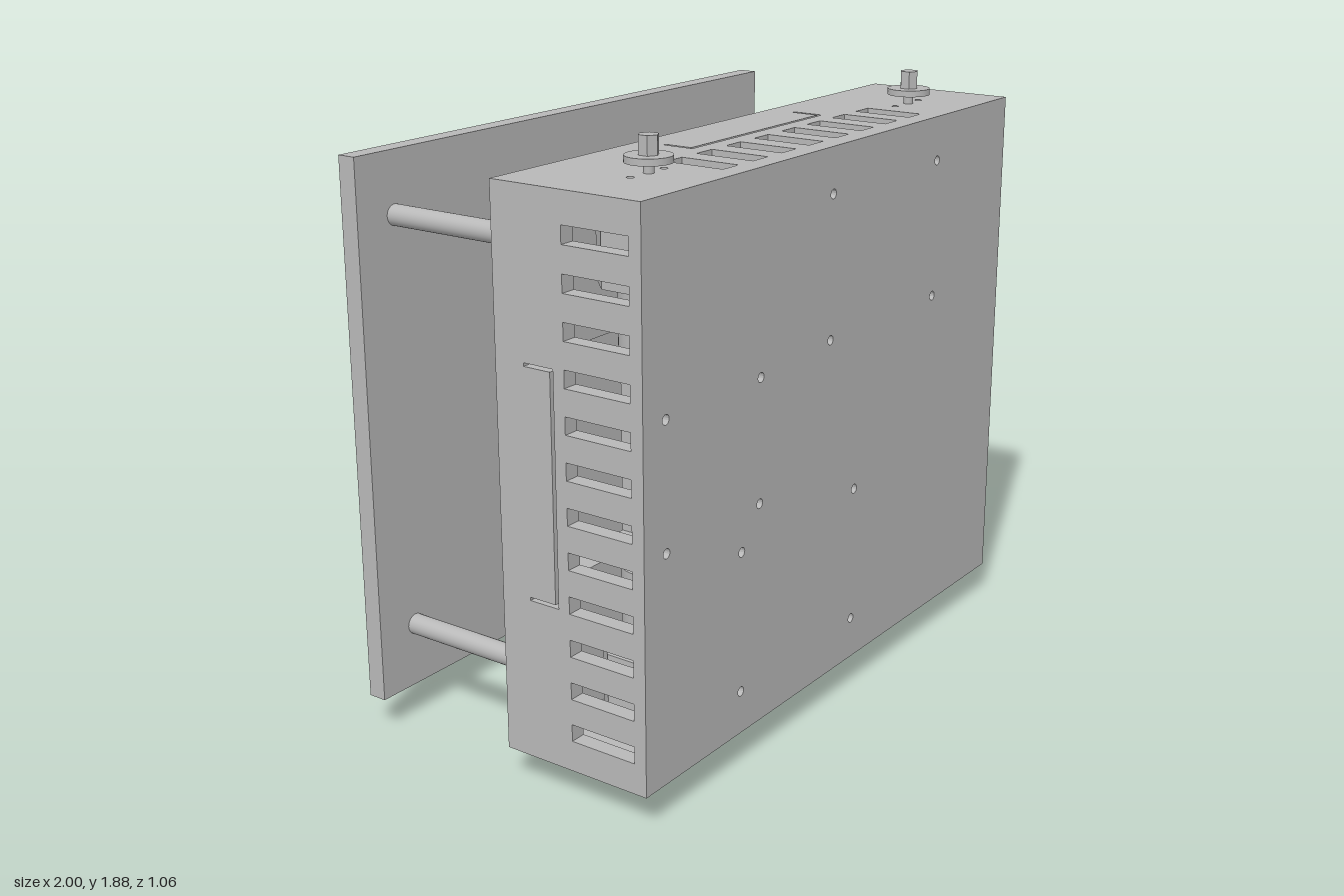
import * as THREE from 'three';

export function createModel() {
  const model = new THREE.Group();
  const grey = new THREE.MeshStandardMaterial({ color: 0xb8b8b8 });
  grey.name = 'plain grey';

  const add = (name, geo, x = 0, y = 0, z = 0, parent = model) => {
    const mesh = new THREE.Mesh(geo, grey);
    mesh.name = name;
    mesh.position.set(x, y, z);
    parent.add(mesh);
    return mesh;
  };

  // Outlines used for the panels and their cut-outs
  const rect = (x0, y0, x1, y1) => [[x0, y0], [x1, y0], [x1, y1], [x0, y1]];
  const ring = (cx, cy, r, n) => Array.from({ length: n }, (_, i) => {
    const a = (i / n) * Math.PI * 2;
    return [cx + r * Math.cos(a), cy + r * Math.sin(a)];
  });
  const points = (list) => list.map(([x, y]) => new THREE.Vector2(x, y));
  const panel = (outline, holes, depth) => {
    const shape = new THREE.Shape(points(outline));
    holes.forEach((h) => shape.holes.push(new THREE.Path(points(h))));
    return new THREE.ExtrudeGeometry(shape, { depth, bevelEnabled: false });
  };

  const B = 0.105, T = 1.78, wall = 0.05, back = 0.03, front = 0.5, mid = (B + T) / 2;

  // Front panel with small screw holes
  const screws = [
    [-0.9, 1.18], [-0.45, 1.18], [-0.9, 0.8], [-0.45, 0.8],
    [-0.08, 1.64], [0.54, 1.64], [-0.08, 1.2], [0.54, 1.2],
    [-0.54, 0.68], [0.08, 0.68], [-0.54, 0.24], [0.08, 0.24],
  ];
  add('frontPanel', panel(rect(-1, B, 1, T), screws.map(([x, y]) => ring(x, y, 0.015, 16)), 0.03), 0, 0, front);

  // Top and bottom walls: vent slots, U-shaped strap slit and pin holes
  const endHoles = [[
    [-0.35, 0.12], [-0.34, 0.12], [-0.34, 0.21], [0.335, 0.21],
    [0.335, 0.12], [0.345, 0.12], [0.345, 0.221], [-0.35, 0.221],
  ]];
  for (let i = 0; i < 8; i++) {
    const x = -0.508 + i * 0.1445;
    endHoles.push(rect(x - 0.037, 0.273, x + 0.037, 0.463));
  }
  for (const s of [-1, 1]) for (const d of [-0.075, 0.075]) endHoles.push(ring(s * 0.7 + d, 0.325, 0.011, 12));
  const endWall = panel(rect(-1, back, 1, front), endHoles, wall).rotateX(Math.PI / 2);
  add('topWall', endWall, 0, T, 0);
  add('bottomWall', endWall, 0, B + wall, 0);

  // Side walls: a column of vent slots and a U-shaped strap slit
  const sideHoles = [[
    [0.13, 0.595], [0.232, 0.595], [0.232, 1.29], [0.13, 1.29],
    [0.13, 1.28], [0.221, 1.28], [0.221, 0.605], [0.13, 0.605],
  ]];
  for (let i = 0; i < 12; i++) {
    const y = 0.225 + i * 0.1305;
    sideHoles.push(rect(0.27, y - 0.026, 0.49, y + 0.026));
  }
  const sideWall = panel(rect(back, B + wall, front, T - wall), sideHoles, wall).rotateY(-Math.PI / 2);
  add('leftWall', sideWall, 1, 0, 0);
  add('rightWall', sideWall, -1 + wall, 0, 0);

  // Thick rear panel: four windows and hexagonal nut pockets
  const posts = [];
  for (const x of [-0.85, 0.85]) for (const y of [0.305, 1.59]) posts.push([x, y]);
  const rearHoles = [
    rect(-0.35, 1.29, 0.35, 1.57), rect(-0.35, 0.31, 0.35, 0.59),
    rect(-0.79, 0.6, -0.45, 1.285), rect(0.45, 0.6, 0.79, 1.285),
    ...posts.map(([x, y]) => ring(x, y, 0.062, 6)),
  ];
  add('rearPanel', panel(rect(-1 + wall, B + wall, 1 - wall, T - wall), rearHoles, 0.1), 0, 0, back);

  // Rods holding the back plate, seated in the nut pockets
  const rod = new THREE.CylinderGeometry(0.032, 0.032, 0.57, 32).rotateX(Math.PI / 2);
  const nut = new THREE.CylinderGeometry(0.061, 0.061, 0.05, 6).rotateX(Math.PI / 2).rotateZ(Math.PI / 6);
  nut.rotateZ(-Math.PI / 6).rotateZ(Math.PI / 2);
  for (const [x, y] of posts) {
    add('spacerRod', rod, x, y, -0.185);
    add('rodNut', nut, x, y, 0.1);
  }
  add('backPlate', new THREE.BoxGeometry(2, T - B, 0.06), 0, mid, -0.5);

  // Bolts with washers outside and stepped sleeves inside, mirrored top to bottom
  const stem = new THREE.CylinderGeometry(0.015, 0.015, 0.05, 20);
  const washer = new THREE.CylinderGeometry(0.068, 0.068, 0.02, 32);
  const head = new THREE.CylinderGeometry(0.03, 0.03, 0.058, 6).toNonIndexed();
  head.computeVertexNormals();
  const collar = new THREE.CylinderGeometry(0.15, 0.15, 0.25, 8).rotateY(Math.PI / 8).toNonIndexed();
  collar.computeVertexNormals();
  const sleeve = new THREE.CylinderGeometry(0.088, 0.088, 0.25, 32);
  for (const x of [-0.7, 0.7]) {
    for (const s of [-1, 1]) {
      const bolt = new THREE.Group();
      bolt.name = s > 0 ? 'topBolt' : 'bottomBolt';
      bolt.position.set(x, mid, 0.33);
      if (s < 0) bolt.rotation.x = Math.PI;
      const h = T - mid;
      add('stem', stem, 0, h + 0.015, 0, bolt);
      add('washer', washer, 0, h + 0.04, 0, bolt);
      add('head', head, 0, h + 0.076, 0, bolt);
      add('collar', collar, 0, h - wall - 0.125, 0, bolt);
      add('sleeve', sleeve, 0, h - wall - 0.37, 0, bolt);
      model.add(bolt);
    }
  }
  return model;
}
